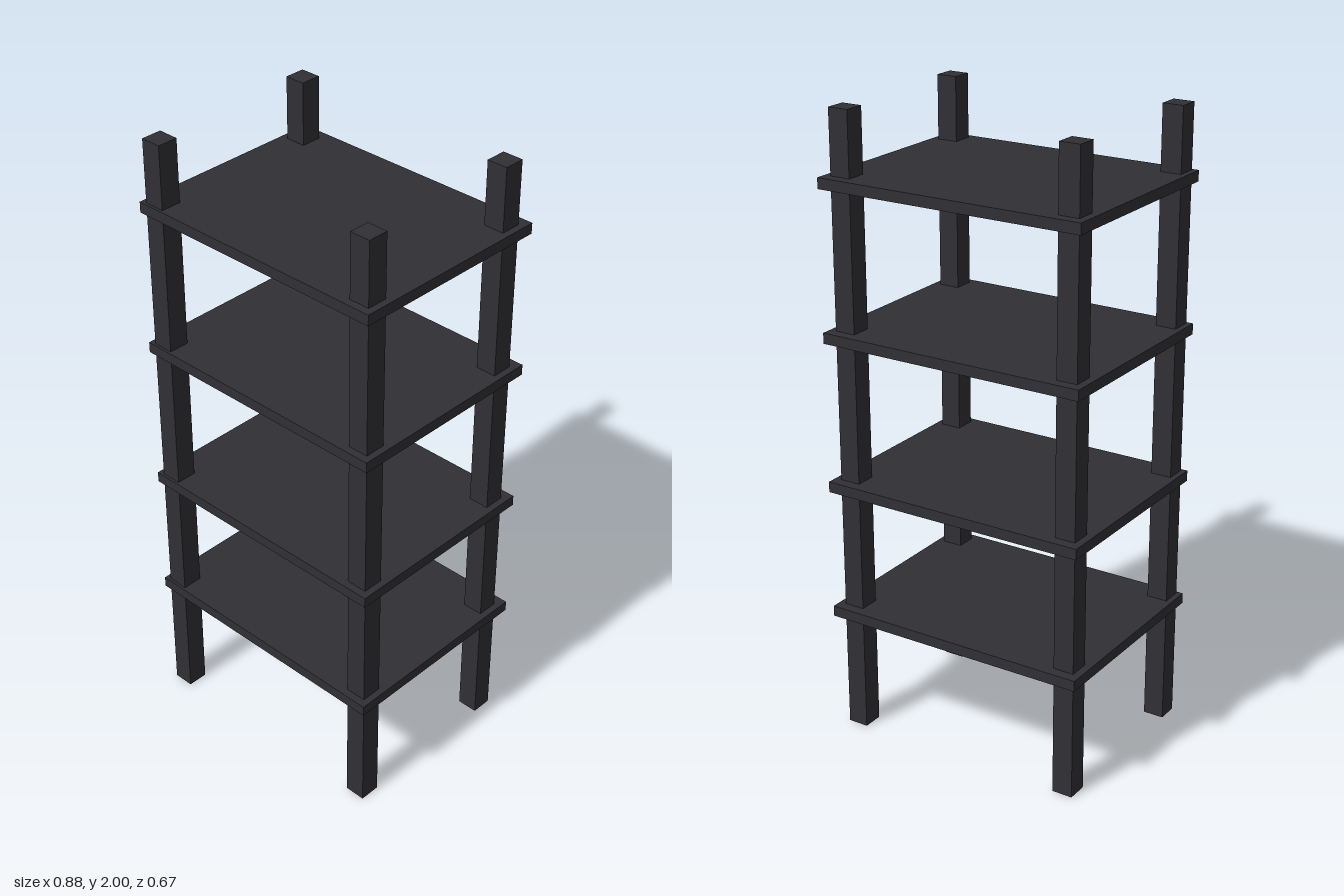
import * as THREE from 'three';

export function createModel() {
  const model = new THREE.Group();
  model.name = 'shelfUnit';
  const material = new THREE.MeshStandardMaterial({ color: 0x303035 });

  const addBox = (name, size, position) => {
    const mesh = new THREE.Mesh(new THREE.BoxGeometry(...size), material);
    mesh.name = name;
    mesh.position.set(...position);
    model.add(mesh);
  };

  // Four square posts, set slightly unevenly
  const posts = {
    backRightPost: [-0.382, -0.267],
    backLeftPost: [0.385, -0.267],
    frontRightPost: [-0.388, 0.293],
    frontLeftPost: [0.385, 0.277],
  };
  for (const [name, [x, z]] of Object.entries(posts)) {
    addBox(name, [0.067, 2, 0.067], [x, 1, z]);
  }

  // Shelf boards, overhanging the posts
  [0.405, 0.83, 1.311, 1.782].forEach((y, i) => {
    addBox(`shelf${i + 1}`, [0.88, 0.034, 0.67], [0, y, 0]);
  });

  return model;
}
